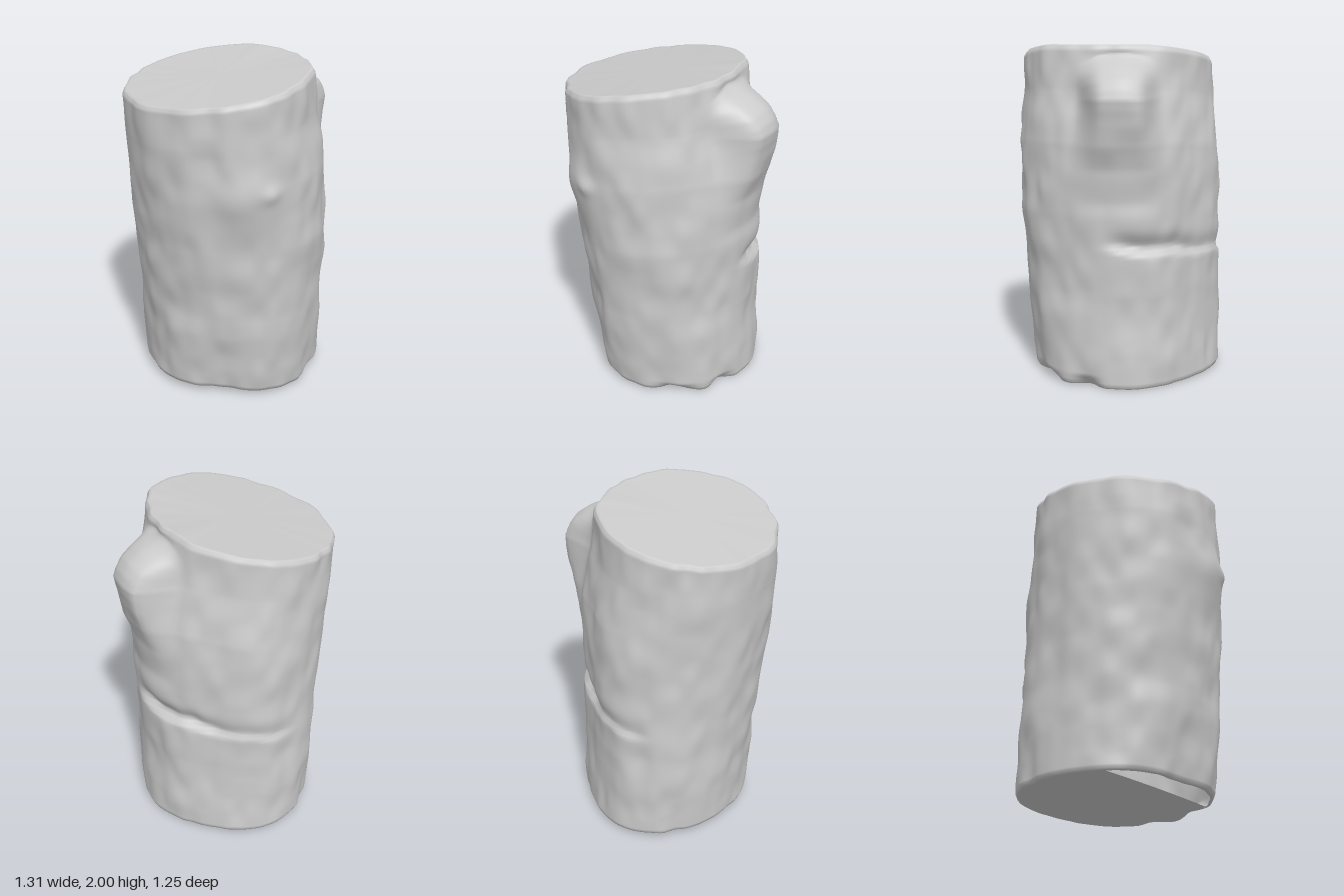
import * as THREE from 'three';

const SIDES = 144, ROWS = 120;

// Trunk extents by height: y, xMin, xMax, zMin, zMax
const SECTIONS = [
  [0.0, -0.52, 0.555, -0.63, 0.53],
  [0.25, -0.535, 0.54, -0.628, 0.555],
  [0.5, -0.555, 0.53, -0.624, 0.58],
  [1.0, -0.59, 0.54, -0.615, 0.61],
  [1.4, -0.618, 0.512, -0.608, 0.61],
  [1.7, -0.637, 0.44, -0.595, 0.592],
  [2.0, -0.645, 0.388, -0.588, 0.585],
];
// Branch stub: height, how far it stands out
const KNOT = [
  [1.1, 0], [1.3, 0.04], [1.45, 0.1], [1.55, 0.145], [1.64, 0.18], [1.7, 0.195],
  [1.76, 0.185], [1.82, 0.155], [1.87, 0.1], [1.91, 0.035], [1.95, 0],
];

const { lerp, clamp, smoothstep } = THREE.MathUtils;
const bell = (d, width) => Math.exp(-(d * d) / (width * width));

function sample(table, y) {
  let k = 0;
  while (k < table.length - 2 && y > table[k + 1][0]) k++;
  const t = clamp((y - table[k][0]) / (table[k + 1][0] - table[k][0]), 0, 1);
  return table[k].slice(1).map((v, i) => lerp(v, table[k + 1][i + 1], t));
}

function hash(i, j, seed) {
  const s = Math.sin(i * 127.1 + j * 311.7 + seed * 74.7) * 43758.5453;
  return (s - Math.floor(s)) * 2 - 1;
}

// Smooth noise that wraps around the trunk
function noise(angle, y, around, perUnit, seed) {
  const u = (angle / (Math.PI * 2)) * around, v = y * perUnit;
  const i = Math.floor(u), j = Math.floor(v);
  const fu = smoothstep(u - i, 0, 1), fv = smoothstep(v - j, 0, 1);
  const h = (a, b) => hash((a + around) % around, b, seed);
  return lerp(lerp(h(i, j), h(i + 1, j), fu), lerp(h(i, j + 1), h(i + 1, j + 1), fu), fv);
}

const topHeight = (x, z) => Math.min(2, 1.945 + 0.16 * x + 0.04 * z);
const bottomHeight = (x) => Math.max(0, 0.02 - 0.036 * x);

// One point of the bark, v running from the foot (0) to the cut (1)
function barkPoint(angle, v) {
  const c = Math.cos(angle), s = Math.sin(angle);
  const [x0, x1, z0, z1] = sample(SECTIONS, v * 1.95);
  const ex = (x0 + x1) / 2 + (c * (x1 - x0)) / 2;
  const ez = (z0 + z1) / 2 + (s * (z1 - z0)) / 2;
  const y = lerp(bottomHeight(ex), topHeight(ex, ez), v);
  const turn = angle > Math.PI ? angle - Math.PI * 2 : angle;

  // Bark: long ridges, lumps and fine grain
  let out = 0.009 * noise(angle, y, 26, 1.6, 1)
    + 0.009 * noise(angle, y, 15, 5, 2)
    + 0.008 * noise(angle, y, 44, 7, 3);

  // Flatter flanks
  out -= 0.055 * (1 - 0.75 * v) * bell(turn + 0.85, 0.45);
  out -= (0.045 - 0.03 * v) * bell(turn - 2.35, 0.4);

  // Crack with an overhanging lower lip, from the +x side round to the back
  const span = smoothstep(turn, -1.85, -1.5) * (1 - smoothstep(turn, -0.1, 0.3));
  const crackY = 0.85 + 0.055 * turn + 0.008 * Math.sin(turn * 9);
  const above = y - crackY;
  const depth = lerp(0.022, 0.05, smoothstep(turn, -1.3, -0.3));
  out -= span * depth * bell(above, above > 0 ? 0.07 : 0.022);

  // Swelling and small spur on the front
  out += 0.04 * bell(y - 1.35, 0.15) * bell(turn - 2.2, 0.28);
  out += 0.025 * bell(y - 1.38, 0.05) * bell(turn - 1.88, 0.09);

  // Chips knocked off the foot
  out -= (0.06 * bell(turn - 1.05, 0.2) + 0.045 * bell(turn - 0.5, 0.14)) * (1 - smoothstep(y, 0, 0.08));

  // Softened rims
  out -= 0.014 * smoothstep(v, 0.985, 1) + 0.01 * (1 - smoothstep(v, 0, 0.012));

  // Branch stub pushed straight out along +x, rounded on top, with a skirt below
  let push = 0;
  if (c > 0) {
    const side = Math.abs(ez - 0.02);
    const skirt = 0.12 * clamp(1.65 - y, 0, 0.5);
    const rounded = y > 1.7 ? y + 1.4 * side * side : y;
    push = sample(KNOT, rounded)[0] * (1 - smoothstep(side, 0.11, 0.25 + skirt));
    // Hollow between the stub and the cut
    push -= 0.02 * bell(y - 1.93, 0.035) * bell(ez - 0.03, 0.12);
  }
  return new THREE.Vector3(ex + c * out + push, y, ez + s * out);
}

function makeMesh(points, index, name) {
  const g = new THREE.BufferGeometry().setFromPoints(points);
  g.setIndex(index);
  g.computeVertexNormals();
  const mesh = new THREE.Mesh(g, new THREE.MeshStandardMaterial({ color: 0xcccccc, side: THREE.DoubleSide }));
  mesh.name = name;
  return mesh;
}

const middle = (ring) => ring.reduce((sum, p) => sum.add(p), new THREE.Vector3()).divideScalar(ring.length);

// Narrow ring just inside a rim, so that the edge shades softly
function inset(ring) {
  const centre = middle(ring);
  return ring.map((p) => p.clone().lerp(centre, 0.03));
}

function makeCap(ring, facingUp, name) {
  const index = [];
  ring.forEach((_, i) => {
    const a = i + 1, b = ((i + 1) % SIDES) + 1;
    index.push(0, ...(facingUp ? [b, a] : [a, b]));
  });
  return makeMesh([middle(ring), ...ring], index, name);
}

// Straight edge across a ring, leaving an opening towards the front and -x
function cutStraight(ring, reach) {
  const centre = middle(ring);
  const dir = new THREE.Vector3(-1, 0, 1).normalize();
  return ring.map((p) => {
    const over = Math.max(0, p.clone().sub(centre).dot(dir) - reach);
    return p.clone().addScaledVector(dir, -over);
  });
}

export function createModel() {
  const group = new THREE.Group();
  group.name = 'log';

  // Bark rings, closer together at both rims and folded over the ends
  const rings = [];
  for (let j = 0; j <= ROWS; j++) {
    const t = j / ROWS;
    const v = t - Math.sin(t * Math.PI * 2) * 0.06;
    rings.push(Array.from({ length: SIDES }, (_, i) => barkPoint((i / SIDES) * Math.PI * 2, v)));
  }
  rings.unshift(inset(rings[0]));
  rings.push(inset(rings.at(-1)));

  const index = [];
  for (let j = 0; j < rings.length - 1; j++) {
    for (let i = 0; i < SIDES; i++) {
      const a = j * SIDES + i, b = j * SIDES + ((i + 1) % SIDES);
      const c = a + SIDES, d = b + SIDES;
      index.push(a, c, b, b, c, d);
    }
  }
  group.add(makeMesh(rings.flat(), index, 'bark'));

  // Sawn ends, the lower one partly open
  group.add(makeCap(rings.at(-1), true, 'topCut'));
  group.add(makeCap(cutStraight(rings[0], 0.31), false, 'bottomCut'));
  return group;
}
